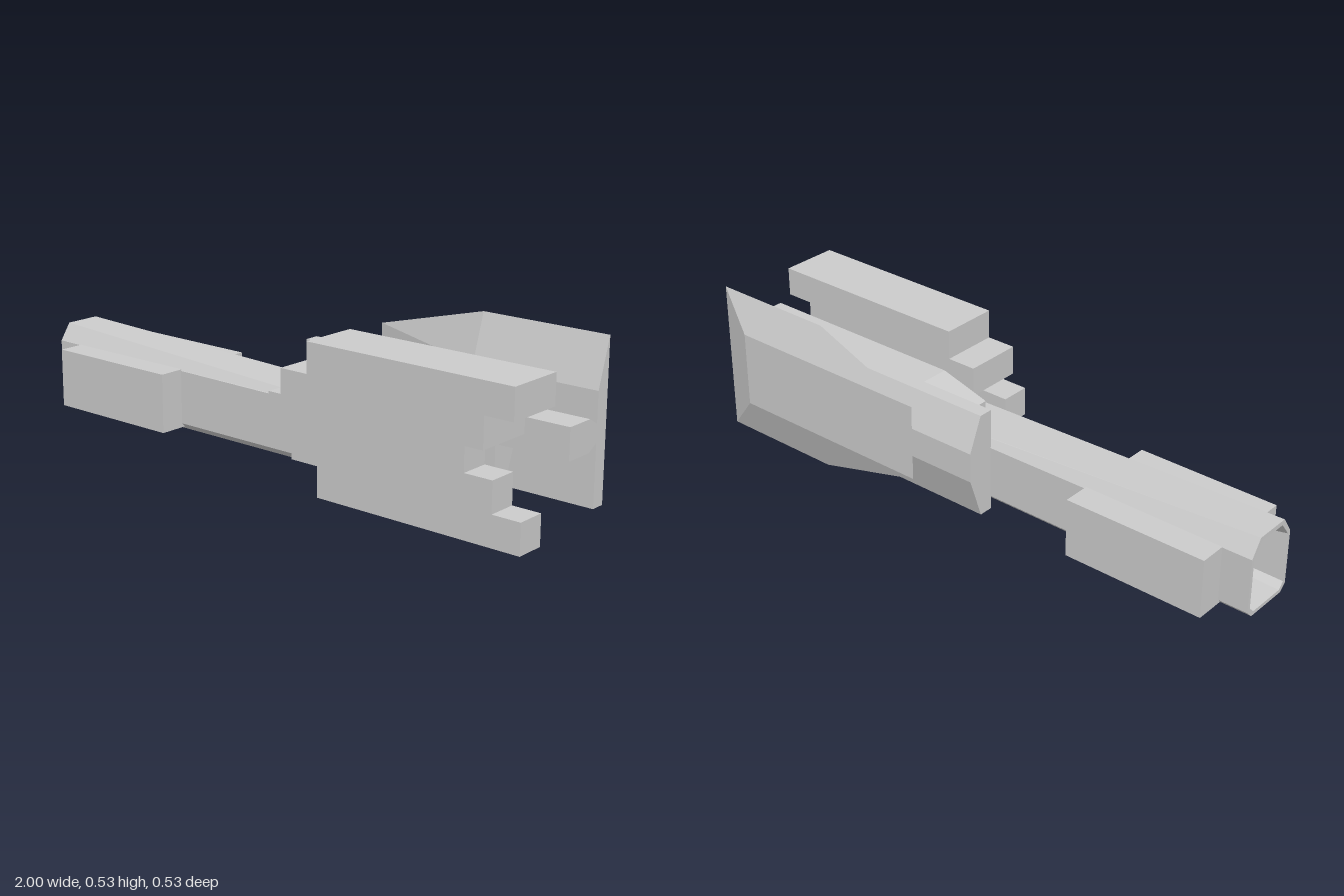
import * as THREE from 'three';
import { ConvexGeometry } from 'three/addons/geometries/ConvexGeometry.js';

const material = new THREE.MeshStandardMaterial({ color: 0xcccccc, flatShading: true, side: THREE.DoubleSide });

function add(group, name, geometry) {
  const mesh = new THREE.Mesh(geometry, material);
  mesh.name = name;
  group.add(mesh);
  return mesh;
}

// Skin over cross-sections { x, ring: [[z, y], ...] } along x, capped at both ends
function loft(sections) {
  const n = sections[0].ring.length;
  const pos = [], index = [];
  for (const { x, ring } of sections) for (const [z, y] of ring) pos.push(x, y, z);
  for (let s = 0; s < sections.length - 1; s++) {
    for (let i = 0; i < n; i++) {
      const a = s * n + i, b = s * n + (i + 1) % n;
      index.push(a, b, a + n, b, b + n, a + n);
    }
  }
  const last = (sections.length - 1) * n;
  for (let i = 1; i < n - 1; i++) {
    index.push(0, i + 1, i, last, last + i, last + i + 1);
  }
  const g = new THREE.BufferGeometry();
  g.setAttribute('position', new THREE.Float32BufferAttribute(pos, 3));
  g.setIndex(index);
  const flat = g.toNonIndexed();
  flat.computeVertexNormals();
  return flat;
}

// Stepped panel: rows of [yBottom, yTop, xLeft, xRight], thick from z0 to z1
function steppedPanel(rows, z0, z1) {
  const left = [], right = [];
  for (const [y0, y1, xl, xr] of rows) {
    right.push(new THREE.Vector2(xr, y0), new THREE.Vector2(xr, y1));
    left.unshift(new THREE.Vector2(xl, y1), new THREE.Vector2(xl, y0));
  }
  const g = new THREE.ExtrudeGeometry(new THREE.Shape([...right, ...left]), { depth: z1 - z0, bevelEnabled: false });
  return g.translate(0, 0, z0);
}

// Eight-sided barrel section with bevelled corners, centred on z = 0.022
function barrelRing(half, bottom, top, lowBevel, sideBevel, topBevel) {
  const zc = 0.022;
  return [
    [zc + half - lowBevel, bottom], [zc - half + lowBevel, bottom],
    [zc - half, bottom + lowBevel], [zc - half, top - topBevel],
    [zc - half + sideBevel, top], [zc + half - sideBevel, top],
    [zc + half, top - topBevel], [zc + half, bottom + lowBevel],
  ];
}

export function createModel() {
  const model = new THREE.Group();
  model.name = 'model';

  // Long tapering barrel, recessed at both ends
  add(model, 'barrel', loft([
    { x: -0.7, ring: barrelRing(0.06, 0.09, 0.22, 0.015, 0.02, 0.02) },
    { x: -1, ring: barrelRing(0.086, 0.062, 0.29, 0.02, 0.035, 0.045) },
    { x: -1, ring: barrelRing(0.097, 0.05, 0.305, 0.022, 0.037, 0.055) },
    { x: 0.6, ring: barrelRing(0.097, 0.05, 0.242, 0.022, 0.003, 0.003) },
    { x: 0.6, ring: barrelRing(0.086, 0.062, 0.232, 0.02, 0.01, 0.01) },
    { x: 0.35, ring: barrelRing(0.045, 0.1, 0.2, 0.015, 0.01, 0.01) },
  ]));

  // Pods on both sides of the barrel
  for (const [name, side] of [['frontPod', 1], ['backPod', -1]]) {
    add(model, name, new THREE.BoxGeometry(0.475, 0.192, 0.098))
      .position.set(-0.665, 0.155, 0.02 + side * 0.134);
  }

  // Stepped armour on the front side: narrow lower part, wide upper part
  add(model, 'lowerArmour', steppedPanel([
    [0, 0.097, 0.23, 0.945], [0.097, 0.194, 0.13, 0.85], [0.194, 0.29, 0.04, 0.755],
  ], 0.121, 0.218));
  add(model, 'upperArmour', steppedPanel([
    [0.29, 0.387, 0.13, 0.85], [0.387, 0.483, 0.23, 0.945],
  ], 0.073, 0.266));

  // Top rail, pointed toward the back and sloping down at its left end
  const rail = [[0.073, 0.242], [-0.025, 0.242], [-0.082, 0.275], [-0.082, 0.305], [-0.025, 0.339], [0.073, 0.339]];
  add(model, 'topRail', loft([
    { x: 0.08, ring: rail.map(([z, y]) => [z, Math.min(y, 0.29)]).map(([z, y], i) => [i === 4 ? -0.082 : z, y]) },
    { x: 0.13, ring: rail.map(([z, y], i) => (i === 4 ? [-0.08, 0.306] : [z, Math.min(y, 0.305)])) },
    { x: 0.25, ring: rail },
    { x: 0.995, ring: rail },
  ]));

  // Bevelled plate on the back side
  const plate = [[-0.072, 0.026], [-0.12, 0.026], [-0.168, 0.165], [-0.168, 0.263], [-0.12, 0.375], [-0.072, 0.375]];
  add(model, 'backPlate', loft([{ x: -0.065, ring: plate }, { x: 0.655, ring: plate }]));

  // Faceted shield: three rectangles [z, x0, x1, y0, y1] hulled together
  const corners = [];
  for (const [z, x0, x1, y0, y1] of [
    [-0.168, 0.5, 0.93, 0.026, 0.375],
    [-0.216, 0.5, 0.93, 0.026, 0.527],
    [-0.265, 0.08, 0.8, 0.165, 0.415],
  ]) {
    for (const x of [x0, x1]) for (const y of [y0, y1]) corners.push(new THREE.Vector3(x, y, z));
  }
  add(model, 'shield', new ConvexGeometry(corners));

  return model;
}
